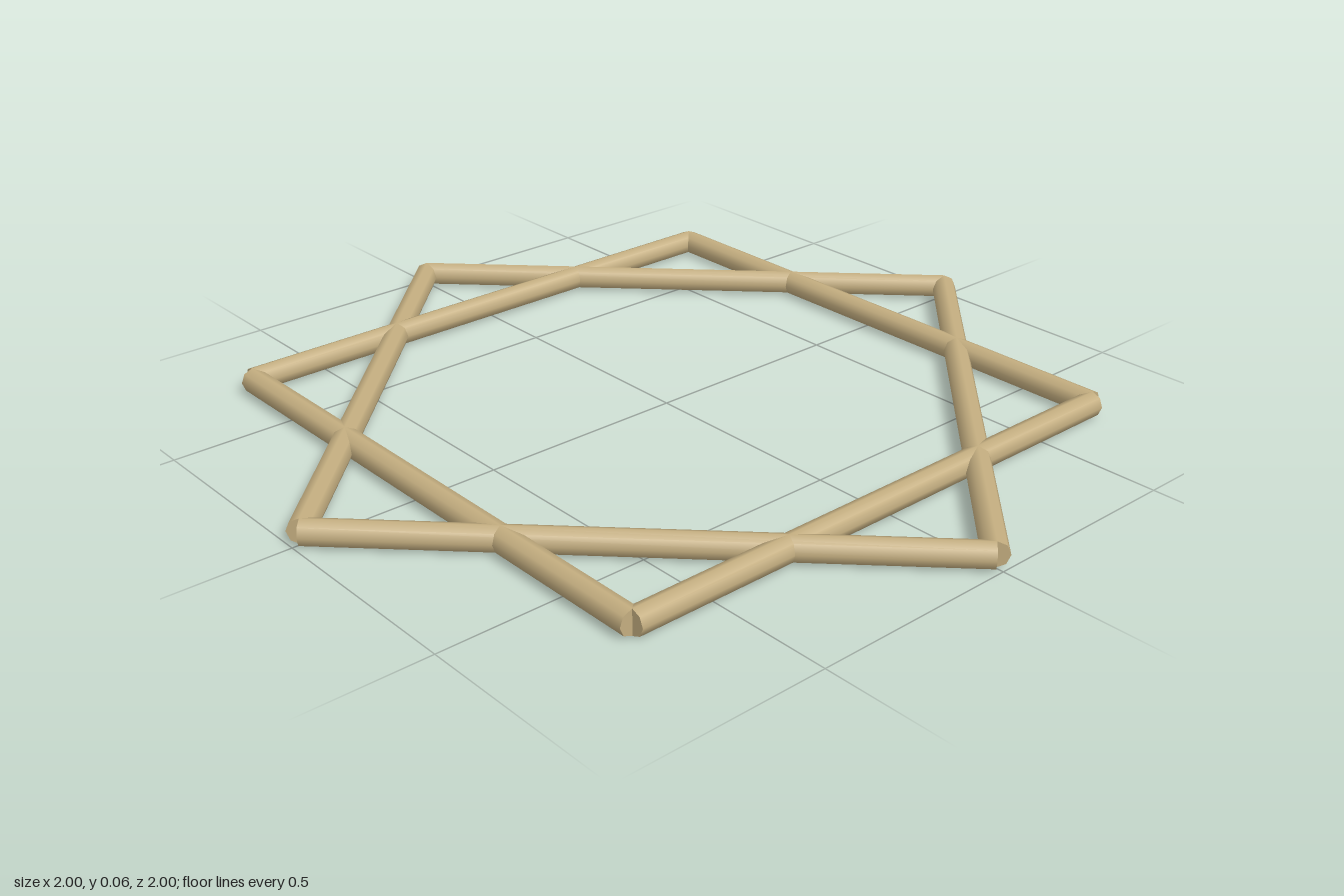
import * as THREE from 'three';

export function createModel() {
  const model = new THREE.Group();
  model.name = 'starFrame';

  const wood = new THREE.MeshStandardMaterial({ color: 0xc4ae80 });
  wood.name = 'paleWood';

  const radius = 0.03;
  const half = 0.692; // distance from the centre to each rod axis
  const rodGeometry = new THREE.CylinderGeometry(radius, radius, half * 2, 8);
  rodGeometry.rotateZ(Math.PI / 2);

  // One square of four plain rods whose axes meet at the corners
  function squareFrame(name, turn) {
    const frame = new THREE.Group();
    frame.name = name;
    for (let i = 0; i < 4; i++) {
      const angle = turn + (i * Math.PI) / 2;
      const rod = new THREE.Mesh(rodGeometry, wood);
      rod.name = name + 'Rod' + (i + 1);
      rod.position.set(Math.sin(angle) * half, radius, Math.cos(angle) * half);
      rod.rotation.y = angle;
      frame.add(rod);
    }
    return frame;
  }

  // Two interlocking squares form the eight-pointed star
  model.add(squareFrame('straightSquare', 0));
  model.add(squareFrame('diagonalSquare', Math.PI / 4));
  return model;
}
